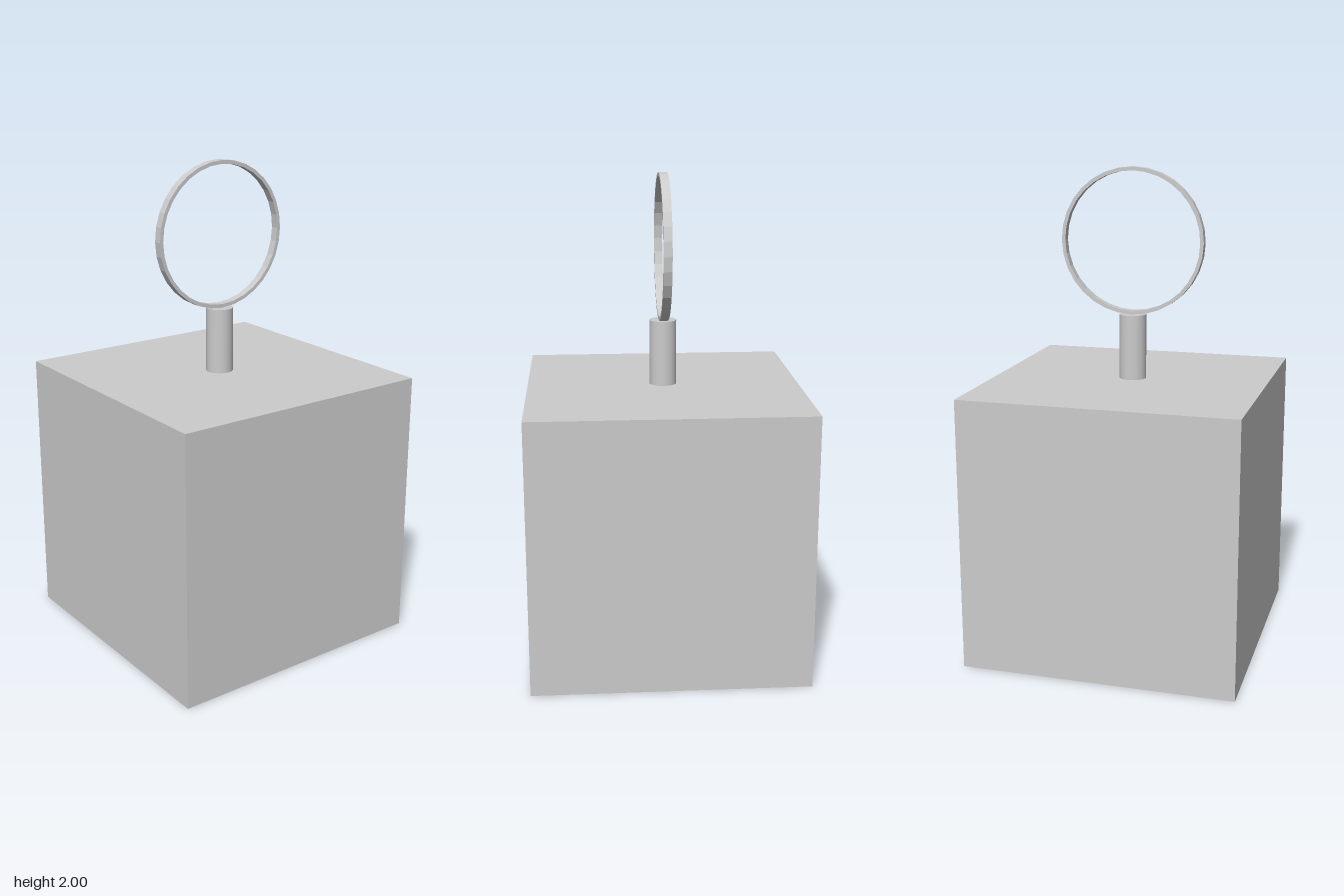
import * as THREE from 'three';

export function createModel() {
  const model = new THREE.Group();
  const material = new THREE.MeshStandardMaterial({ color: 0xcccccc });

  const add = (name, geometry, y) => {
    const mesh = new THREE.Mesh(geometry, material);
    mesh.name = name;
    mesh.position.y = y;
    model.add(mesh);
  };

  // Cube body standing on the ground
  const side = 1.13;
  add('body', new THREE.BoxGeometry(side, side, side), side / 2);

  // Short round post on top of the body
  const postTop = 1.4;
  add('post', new THREE.CylinderGeometry(0.056, 0.056, postTop - side, 32), (side + postTop) / 2);

  // Thin upright ring with a rectangular section, resting on the post
  const outer = 0.3, inner = 0.285, depth = 0.035;
  const shape = new THREE.Shape().absarc(0, 0, outer, 0, Math.PI * 2, false);
  shape.holes.push(new THREE.Path().absarc(0, 0, inner, 0, Math.PI * 2, true));
  const ring = new THREE.ExtrudeGeometry(shape, { depth, bevelEnabled: false, curveSegments: 16 });
  ring.translate(0, 0, -depth / 2);
  add('ring', ring, postTop + outer);

  return model;
}
